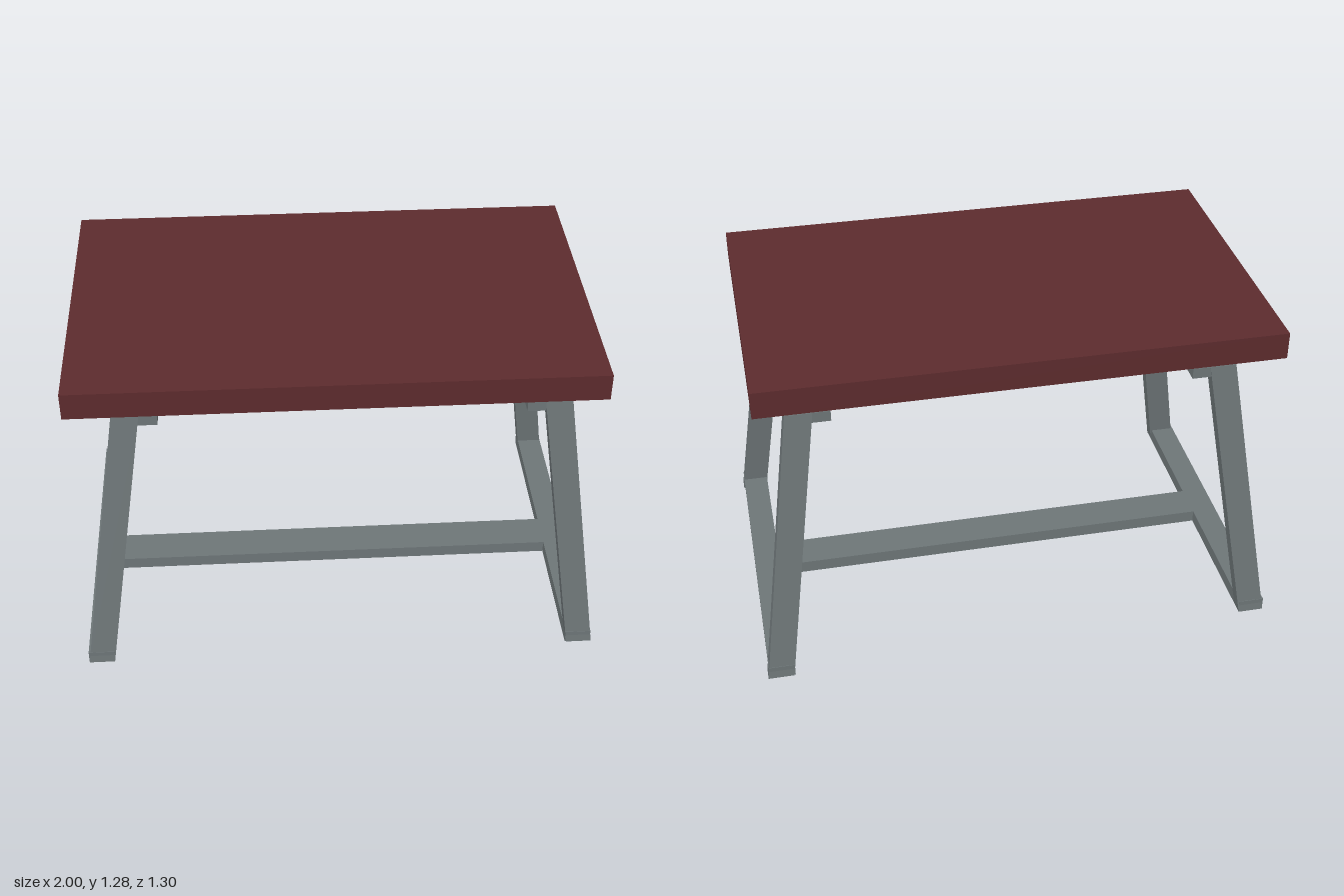
import * as THREE from 'three';

export function createModel() {
  const model = new THREE.Group();
  model.name = 'table';

  const wood = new THREE.MeshStandardMaterial({ color: 0x5c2b2d });
  wood.name = 'dark red wood';
  const steel = new THREE.MeshStandardMaterial({ color: 0x6d7577 });
  steel.name = 'grey steel';

  // Box given by its lower and upper limits on each axis
  function bar(name, material, [x0, x1], [y0, y1], [z0, z1]) {
    const geometry = new THREE.BoxGeometry(x1 - x0, y1 - y0, z1 - z0);
    geometry.translate((x0 + x1) / 2, (y0 + y1) / 2, (z0 + z1) / 2);
    const mesh = new THREE.Mesh(geometry, material);
    mesh.name = name;
    model.add(mesh);
    return mesh;
  }

  // Leaning leg: an upright bar whose top corners move inward
  function leg(name, xBottom, xTop, zBottom, zTop) {
    const width = 0.1, depth = 0.055, height = 1.12;
    const geometry = new THREE.BoxGeometry(width, height, depth);
    geometry.translate(0, height / 2, 0);
    const p = geometry.attributes.position;
    for (let i = 0; i < p.count; i++) {
      const t = p.getY(i) / height;
      p.setX(i, p.getX(i) + THREE.MathUtils.lerp(xBottom, xTop, t));
      p.setZ(i, p.getZ(i) + THREE.MathUtils.lerp(zBottom, zTop, t));
    }
    geometry.computeVertexNormals();
    const mesh = new THREE.Mesh(geometry, steel);
    mesh.name = name;
    model.add(mesh);
  }

  // Table top, overhanging slightly more on the right
  bar('tableTop', wood, [-0.99, 0.96], [1.175, 1.28], [-0.6, 0.6]);

  // Rectangular frame under the top
  bar('frontApron', steel, [-0.73, 0.75], [1.12, 1.175], [0.45, 0.5]);
  bar('backApron', steel, [-0.73, 0.75], [1.12, 1.175], [-0.495, -0.445]);
  bar('rightApron', steel, [-0.73, -0.68], [1.12, 1.175], [-0.445, 0.45]);
  bar('leftApron', steel, [0.7, 0.75], [1.12, 1.175], [-0.445, 0.45]);

  // Flat bars joining each pair of legs at the top
  bar('rightTopBar', steel, [-0.828, -0.662], [1.078, 1.12], [-0.522, 0.525]);
  bar('leftTopBar', steel, [0.68, 0.845], [1.078, 1.12], [-0.522, 0.525]);

  // Legs and floor rails
  for (const [side, s, xTop] of [['right', -1, -0.778], ['left', 1, 0.795]]) {
    leg(side + 'FrontLeg', s * 0.95, xTop, 0.621, 0.498);
    leg(side + 'BackLeg', s * 0.95, xTop, -0.621, -0.495);
    const xs = s < 0 ? [-1, -0.9] : [0.895, 0.995];
    bar(side + 'FloorRail', steel, xs, [0, 0.05], [-0.645, 0.645]);
  }

  // Stretcher between the floor rails
  bar('stretcher', steel, [-0.9, 0.895], [0, 0.05], [-0.04, 0.11]);

  return model;
}
